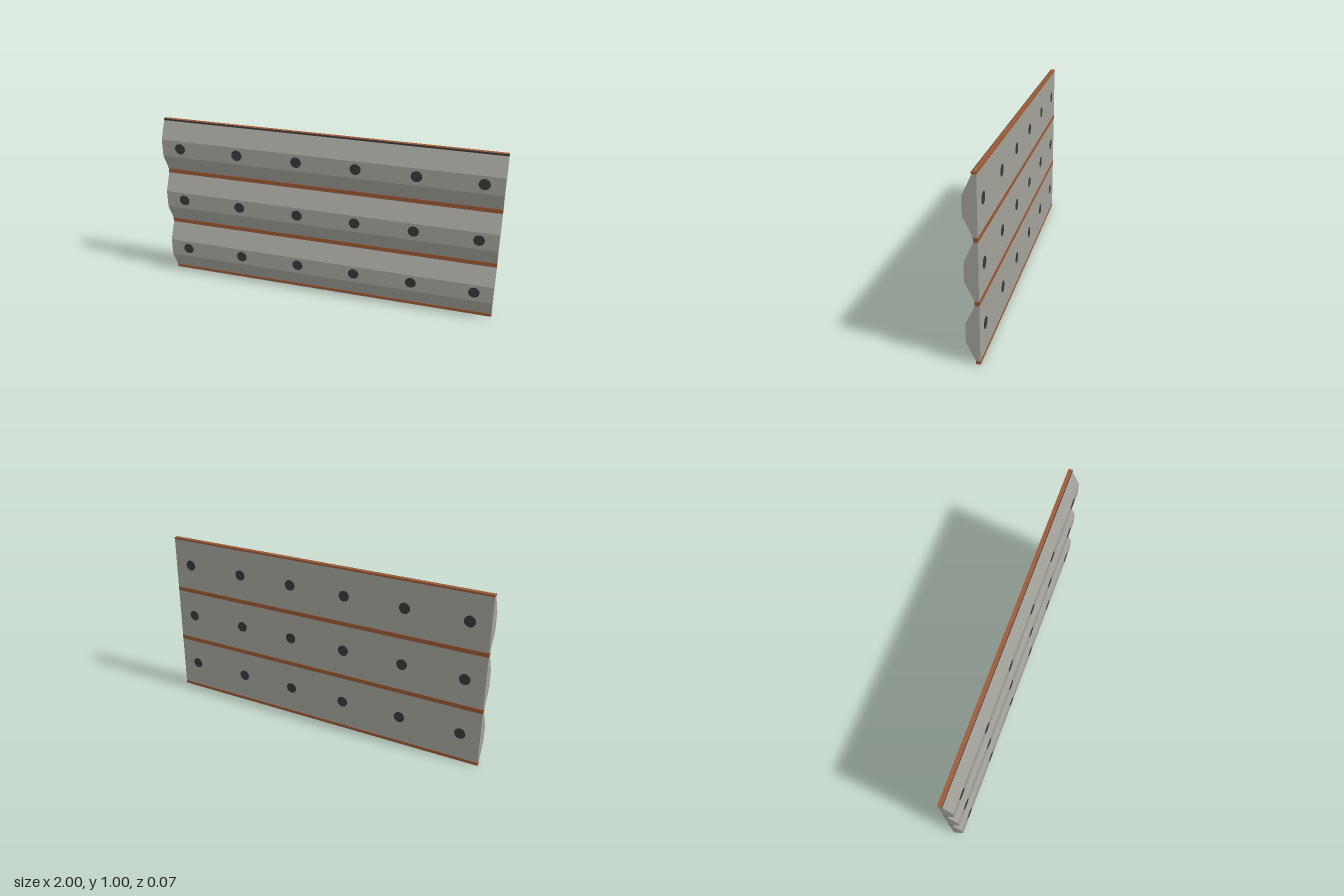
import * as THREE from 'three';

const mat = (name, color) => {
  const m = new THREE.MeshStandardMaterial({ color });
  m.name = name;
  return m;
};

export function createModel() {
  const group = new THREE.Group();
  const grey = mat('weathered grey', 0xa2a29a);
  const rust = mat('rust brown', 0x9a5833);
  const dark = mat('dark bolt', 0x38383c);

  const add = (name, geometry, material, x, y, z) => {
    const mesh = new THREE.Mesh(geometry, material);
    mesh.name = name;
    mesh.position.set(x, y, z);
    group.add(mesh);
    return mesh;
  };

  const back = -0.035, groove = -0.013, front = 0.036;

  // Ridged plank: cross-section drawn as (-z, y), extruded along x
  const profile = new THREE.Shape([
    [back, 0.018], [groove, 0.018], [front, 0.118],
    [front, 0.22], [groove, 0.325], [back, 0.325],
  ].map(([z, y]) => new THREE.Vector2(-z, y)));
  const plank = new THREE.ExtrudeGeometry(profile, { depth: 2, bevelEnabled: false });
  plank.rotateY(Math.PI / 2).translate(-1, 0, 0);

  // Bolts run through each plank and show on both sides
  const bolt = new THREE.CylinderGeometry(0.032, 0.032, front - back + 0.002, 16);
  bolt.rotateX(Math.PI / 2);
  const boltX = [-0.885, -0.525, -0.163, 0.185, 0.528, 0.892];

  for (let i = 0; i < 3; i++) {
    const y = i * 0.332;
    add('plank', plank, grey, 0, y, 0);
    for (const x of boltX) add('bolt', bolt, dark, x, y + 0.172, (front + back) / 2);
  }

  // Rusty strips in the grooves and along both edges
  const depth = 0.024;
  for (const [low, high] of [[0, 0.018], [0.325, 0.35], [0.657, 0.682], [0.989, 1]]) {
    add('seamStrip', new THREE.BoxGeometry(2, high - low, depth), rust,
      0, (low + high) / 2, -0.036 + depth / 2);
  }

  // Thin dark lip in front of the top strip
  add('topLip', new THREE.BoxGeometry(2, 0.009, 0.003), dark, 0, 0.9955, -0.0115);

  return group;
}
